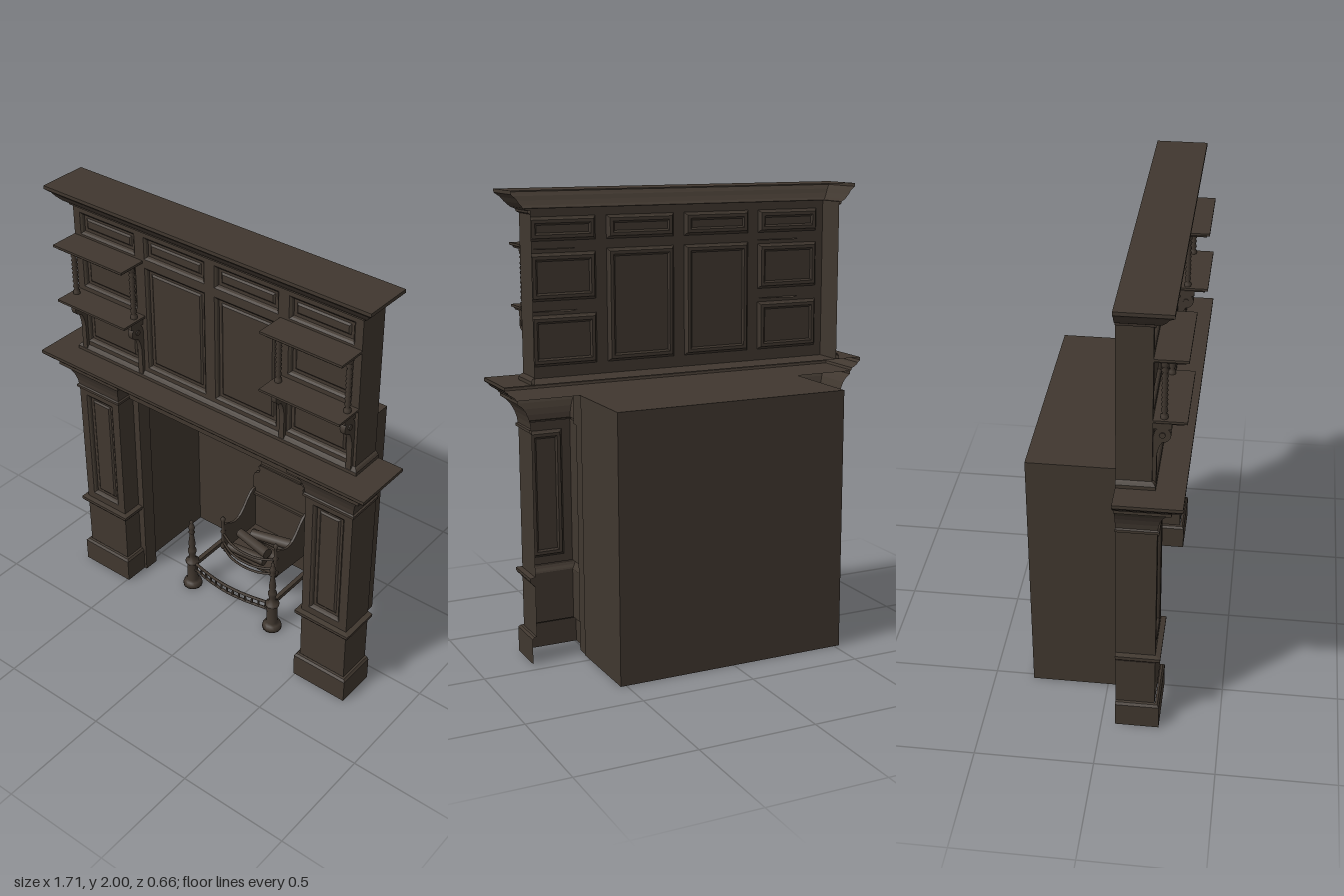
import * as THREE from 'three';

const wood = new THREE.MeshStandardMaterial({ color: 0x40372f, side: THREE.DoubleSide });
wood.name = 'dark brown';

const BACK = 0.06; // plane where the open-backed surround meets the firebox

function add(parent, name, geometry, x = 0, y = 0, z = 0) {
  const mesh = new THREE.Mesh(geometry, wood);
  mesh.name = name;
  mesh.position.set(x, y, z);
  parent.add(mesh);
  return mesh;
}

function group(parent, name, x = 0) {
  const g = new THREE.Group();
  g.name = name;
  g.position.x = x;
  parent.add(g);
  return g;
}

// Flat-faced skin over matching cross-sections, optionally capped at the last one
function loft(rings, closed, cap) {
  const pos = [];
  const tri = (a, b, c) => pos.push(...a, ...b, ...c);
  for (let i = 0; i < rings.length - 1; i++) {
    const a = rings[i], b = rings[i + 1], n = a.length;
    for (let j = 0; j < (closed ? n : n - 1); j++) {
      const k = (j + 1) % n;
      tri(a[j], a[k], b[k]);
      tri(a[j], b[k], b[j]);
    }
  }
  const r = rings[rings.length - 1];
  if (cap) for (let j = 1; j < r.length - 1; j++) tri(r[0], r[j], r[j + 1]);
  const g = new THREE.BufferGeometry();
  g.setAttribute('position', new THREE.Float32BufferAttribute(pos, 3));
  g.computeVertexNormals();
  return g;
}

// Moulding running round left side, front and right side; profile is [overhang, y]
function moulding(x0, x1, zFront, profile, cap = true, zBack = BACK) {
  return loft(profile.map(([e, y]) => [
    [x0 - e, y, zBack], [x0 - e, y, zFront + e], [x1 + e, y, zFront + e], [x1 + e, y, zBack],
  ]), false, cap);
}

// Sheet facing +z with sunk, raised-field panels; each panel is [x0, x1, y0, y1]
function panelledSheet(parent, name, x0, x1, y0, y1, z, panels) {
  const rect = (Type, a, b, c, d) => new Type([[a, c], [b, c], [b, d], [a, d]].map(p => new THREE.Vector2(...p)));
  const sheet = rect(THREE.Shape, x0, x1, y0, y1);
  for (const p of panels) {
    sheet.holes.push(rect(THREE.Path, ...p));
    const [a, b, c, d] = p;
    const steps = [[0, 0], [0.008, -0.006], [0.012, -0.016], [0.026, -0.016], [0.034, -0.01]];
    add(parent, name + 'Panel', loft(steps.map(([i, dz]) => [
      [a + i, c + i, z + dz], [b - i, c + i, z + dz], [b - i, d - i, z + dz], [a + i, d - i, z + dz],
    ]), true, true));
  }
  add(parent, name, new THREE.ShapeGeometry(sheet), 0, 0, z);
}

const lathe = (pts, n = 12) => new THREE.LatheGeometry(pts.map(p => new THREE.Vector2(...p)), n);

function tube(points, r, n = 20) {
  const curve = new THREE.CatmullRomCurve3(points.map(p => new THREE.Vector3(...p)));
  return new THREE.TubeGeometry(curve, n, r, 6);
}

function buildPier(root, side) {
  const g = group(root, side > 0 ? 'leftPier' : 'rightPier', side * 0.6275);
  const w = 0.116;
  add(g, 'plinth', moulding(-0.135, 0.135, 0.245, [[0, 0], [0, 0.11], [-0.008, 0.12], [-0.018, 0.122]], false));
  add(g, 'pedestal', moulding(-w, w, 0.225, [[0, 0.12], [0, 0.345]], false));
  add(g, 'pedestalMoulding', moulding(-w, w, 0.225,
    [[0, 0.34], [0.006, 0.35], [0.016, 0.36], [0.022, 0.37], [0.022, 0.382], [0, 0.386]], false));
  panelledSheet(g, 'shaftFront', -w, w, 0.385, 1.02, 0.225, [[-0.077, 0.077, 0.42, 0.98]]);
  for (const s of [-1, 1]) {
    add(g, 'shaftSide', loft([[[s * w, 0.385, BACK], [s * w, 0.385, 0.225]], [[s * w, 1.02, BACK], [s * w, 1.02, 0.225]]], false));
  }
  add(g, 'flaredCapital', moulding(-w, w, 0.225, [[0, 1.005], [0.009, 1.01], [0.009, 1.022], [0.002, 1.026],
    [0.005, 1.05], [0.012, 1.075], [0.023, 1.1], [0.037, 1.12], [0.05, 1.13], [0.058, 1.135], [0.058, 1.15]], false));
}

// Two shelves on balusters and scroll brackets at one end of the overmantel
function buildShelves(root, side) {
  const g = group(root, side > 0 ? 'leftShelves' : 'rightShelves', side * 0.5375);
  for (const y of [1.505, 1.765]) {
    add(g, 'shelf', moulding(-0.175, 0.175, 0.315,
      [[-0.17, y - 0.012], [0, y - 0.012], [0.004, y - 0.004], [0.014, y], [0.014, y + 0.01]], true, 0.2));
  }
  const baluster = [[0.015, 0], [0.015, 0.015], [0.008, 0.02], [0.014, 0.035]];
  for (let i = 0; i < 7; i++) baluster.push([0.009, 0.05 + i * 0.02], [0.014, 0.06 + i * 0.02]);
  baluster.push([0.008, 0.195], [0.015, 0.205], [0.008, 0.215], [0.015, 0.222], [0.015, 0.24]);
  for (const x of [-0.163, 0.163]) {
    add(g, 'baluster', lathe(baluster), x, 1.514, 0.24);
    const scroll = add(g, 'bracketScroll', new THREE.CylinderGeometry(0.033, 0.033, 0.024, 16), x, 1.445, 0.235);
    scroll.rotation.z = Math.PI / 2;
    const eye = add(g, 'scrollEye', new THREE.CylinderGeometry(0.012, 0.012, 0.034, 10), x, 1.445, 0.235);
    eye.rotation.z = Math.PI / 2;
    add(g, 'bracketBlock', new THREE.BoxGeometry(0.024, 0.03, 0.07), x, 1.485, 0.235);
    const stem = new THREE.Shape();
    stem.moveTo(0.2, 1.225);
    stem.lineTo(0.214, 1.225);
    stem.lineTo(0.214, 1.34);
    stem.quadraticCurveTo(0.216, 1.39, 0.24, 1.42);
    stem.lineTo(0.2, 1.44);
    const m = add(g, 'bracketStem', new THREE.ExtrudeGeometry(stem, { depth: 0.024, bevelEnabled: false }), x + 0.012, 0, 0);
    m.rotation.y = -Math.PI / 2;
  }
}

function buildGrate(root) {
  const g = group(root, 'fireGrate');
  const post = [[0, 0], [0.045, 0], [0.045, 0.015], [0.038, 0.03], [0.026, 0.036], [0.025, 0.13], [0.032, 0.137],
    [0.032, 0.15], [0.017, 0.157], [0.015, 0.18], [0.02, 0.2], [0.02, 0.215], [0.013, 0.225], [0.017, 0.25],
    [0.009, 0.31], [0.016, 0.318], [0.009, 0.328], [0.016, 0.345], [0.012, 0.36], [0.007, 0.37], [0.009, 0.38], [0, 0.395]];
  const sidePost = [[0, 0], [0.011, 0.01], [0.015, 0.025], [0.007, 0.04], [0.009, 0.1], [0.014, 0.11], [0.007, 0.12],
    [0.007, 0.17], [0.013, 0.185], [0, 0.205]];
  for (const s of [-1, 1]) {
    add(g, 'andironPost', lathe(post, 14), s * 0.238, 0, 0.07);
    add(g, 'andironBar', new THREE.BoxGeometry(0.02, 0.02, 0.34), s * 0.225, 0.13, -0.11);
    add(g, 'basketPost', lathe(sidePost, 10), s * 0.155, 0.17, -0.06);
    // Side plate sweeping down from the fireback
    const p = new THREE.Shape();
    p.moveTo(0.3, 0.15);
    p.lineTo(0.3, 0.4);
    p.bezierCurveTo(0.24, 0.4, 0.22, 0.29, 0.15, 0.29);
    p.bezierCurveTo(0.11, 0.29, 0.1, 0.32, 0.06, 0.32);
    p.lineTo(0.06, 0.17);
    const plate = add(g, 'basketSide', new THREE.ExtrudeGeometry(p, { depth: 0.012, bevelEnabled: false }), s * 0.155 - 0.006);
    plate.rotation.y = Math.PI / 2;
  }
  // Bowed fender with a row of little spindles
  const bow = x => 0.07 + 0.035 * Math.cos(x / 0.235 * Math.PI / 2);
  for (const y of [0.103, 0.14]) {
    add(g, 'fenderRail', tube([-0.235, -0.15, -0.08, 0, 0.08, 0.15, 0.235].map(x => [x, y, bow(x)]), 0.007));
  }
  for (let i = -6; i <= 6; i++) {
    add(g, 'fenderSpindle', new THREE.CylinderGeometry(0.004, 0.006, 0.036, 6), i * 0.034, 0.12, bow(i * 0.034));
  }
  // Basket floor, front bars and logs
  add(g, 'basketFloor', new THREE.BoxGeometry(0.31, 0.012, 0.24), 0, 0.165, -0.18);
  for (const y of [0.185, 0.215, 0.27]) {
    add(g, 'basketBar', tube([[-0.155, y, -0.06], [-0.08, y - 0.01, -0.03], [0, y - 0.012, -0.02], [0.08, y - 0.01, -0.03], [0.155, y, -0.06]], 0.006));
  }
  [[-0.03, 0.2, -0.08, 0.1], [0.03, 0.2, -0.15, -0.12], [0, 0.2, -0.22, 0.05], [-0.02, 0.24, -0.12, -0.2], [0.03, 0.245, -0.19, 0.25]]
    .forEach(([x, y, z, turn]) => {
      const log = add(g, 'log', new THREE.CylinderGeometry(0.022, 0.026, 0.2, 9), x, y, z);
      log.rotation.set(0, turn, Math.PI / 2);
    });
  // Fireback with shouldered outline and small pediment
  const half = [[0.16, 0.15], [0.165, 0.46], [0.155, 0.485], [0.13, 0.497], [0.125, 0.515], [0.135, 0.53], [0.115, 0.545], [0.12, 0.575], [0, 0.61]];
  const outline = half.concat(half.slice(0, -1).reverse().map(([x, y]) => [-x, y]));
  const back = new THREE.Shape(outline.map(p => new THREE.Vector2(...p)));
  add(g, 'fireback', new THREE.ExtrudeGeometry(back, { depth: 0.02, bevelEnabled: false }), 0, 0, -0.32);
  add(g, 'firebackRail', new THREE.BoxGeometry(0.33, 0.012, 0.014), 0, 0.372, -0.293);
  add(g, 'pedimentRail', new THREE.BoxGeometry(0.23, 0.008, 0.01), 0, 0.55, -0.296);
}

export function createModel() {
  const root = new THREE.Group();
  root.name = 'fireplace';

  // Firebox, open at the front and underneath
  const box = y => [[-0.525, y, BACK], [-0.525, y, -0.33], [0.525, y, -0.33], [0.525, y, BACK]];
  add(root, 'firebox', loft([box(0), box(1.15)], false, true));

  // Frame round the opening
  const frame = (x, y) => [[-x, 0], [x, 0], [x, y], [-x, y]].map(p => new THREE.Vector2(...p));
  const slip = new THREE.Shape([[-0.52, 0], [-0.48, 0], [-0.48, 0.985], [0.48, 0.985], [0.48, 0], [0.52, 0], [0.52, 1.02], [-0.52, 1.02]]
    .map(p => new THREE.Vector2(...p)));
  add(root, 'openingFrame', new THREE.ExtrudeGeometry(slip, { depth: 0.07, bevelEnabled: false }), 0, 0, BACK);
  add(root, 'frieze', new THREE.BoxGeometry(1.04, 0.14, 0.1), 0, 1.08, 0.11);

  for (const side of [1, -1]) {
    buildPier(root, side);
    buildShelves(root, side);
  }

  // Mantel shelf
  add(root, 'mantelSoffit', new THREE.PlaneGeometry(1.61, 0.22).rotateX(Math.PI / 2), 0, 1.15, 0.17);
  add(root, 'mantelShelf', moulding(-0.8, 0.8, 0.275, [[0, 1.15], [0.008, 1.152], [0.012, 1.163], [0.025, 1.168],
    [0.038, 1.178], [0.042, 1.186], [0.05, 1.19], [0.055, 1.196], [0.055, 1.21]]));

  // Overmantel: panelled sheet with returns, skirting and cornice
  const panels = [];
  for (const s of [-1, 1]) {
    const span = (a, b) => (s > 0 ? [a, b] : [-b, -a]);
    const inner = span(0.025, 0.34), outer = span(0.39, 0.69);
    panels.push([...inner, 1.785, 1.885], [...outer, 1.785, 1.885], [...inner, 1.26, 1.745],
      [...outer, 1.535, 1.735], [...outer, 1.26, 1.475]);
    add(root, 'overmantelReturn', loft([[[s * 0.725, 1.21, BACK], [s * 0.725, 1.21, 0.2]], [[s * 0.725, 1.92, BACK], [s * 0.725, 1.92, 0.2]]], false));
  }
  panelledSheet(root, 'overmantelFront', -0.725, 0.725, 1.21, 1.92, 0.2, panels);
  add(root, 'overmantelSkirting', moulding(-0.725, 0.725, 0.2, [[0.015, 1.21], [0.015, 1.225], [0.008, 1.235], [0, 1.24]], false));
  add(root, 'cornice', moulding(-0.725, 0.725, 0.2, [[0, 1.905], [0.01, 1.91], [0.012, 1.92], [0.03, 1.93],
    [0.048, 1.95], [0.06, 1.968], [0.072, 1.978], [0.08, 1.985], [0.08, 2]]));

  buildGrate(root);
  return root;
}
